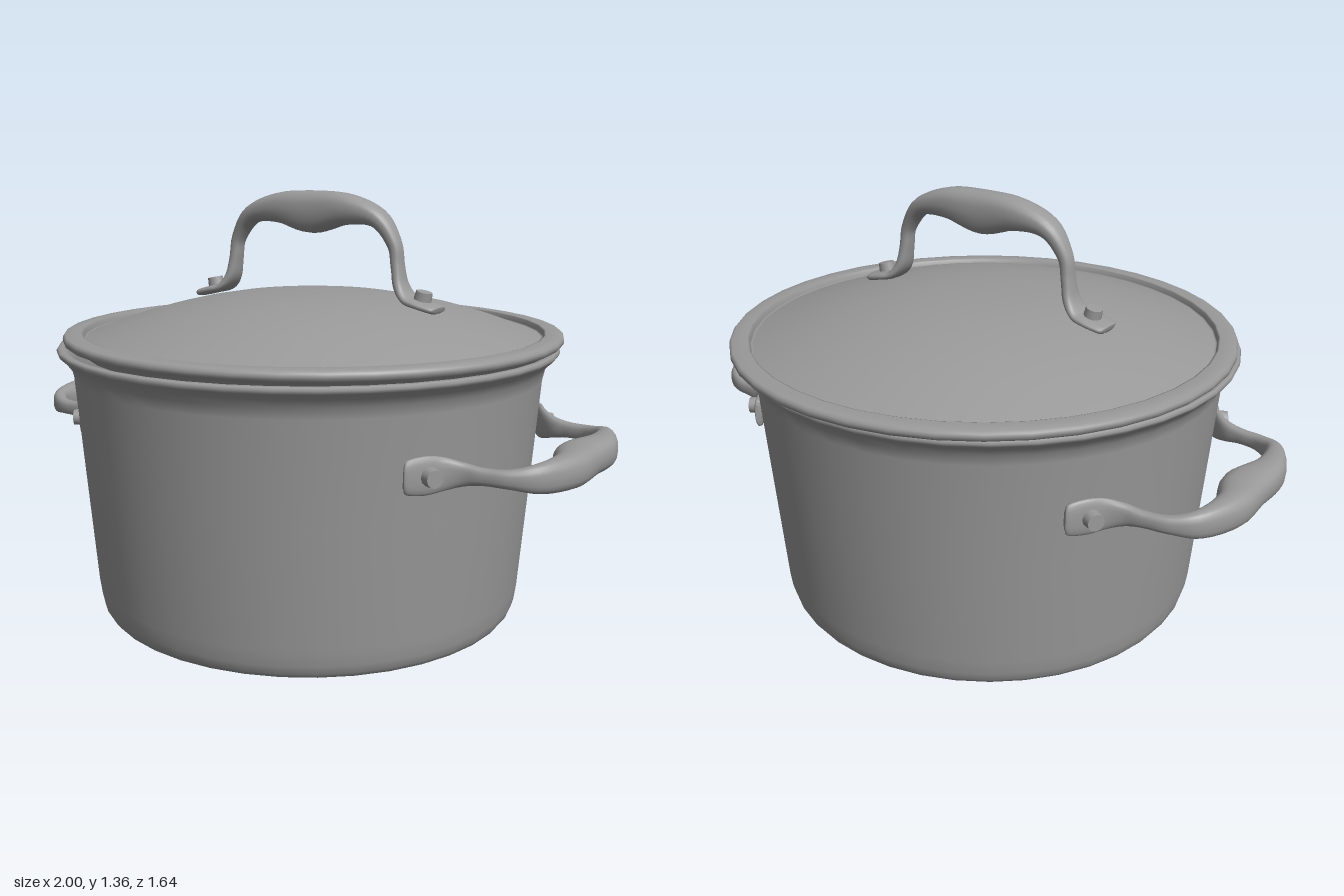
import * as THREE from 'three';

const material = new THREE.MeshStandardMaterial({ color: 0x999999 });

function part(name, geometry) {
  const mesh = new THREE.Mesh(geometry, material);
  mesh.name = name;
  return mesh;
}

const lathe = (name, profile) =>
  part(name, new THREE.LatheGeometry(profile.map(([r, y]) => new THREE.Vector2(r, y)), 40));

// Sweeps a rounded section along a mirrored path in the XY plane.
// Each station is [x, y, thickness in the plane, width along z].
function sweepHandle(half) {
  const mirrored = half.slice(0, -1).reverse().map(([x, y, t, w]) => [-x, y, t, w]);
  const stations = [...half, ...mirrored];
  const path = new THREE.CatmullRomCurve3(
    stations.map(([x, y]) => new THREE.Vector3(x, y, 0)), false, 'catmullrom', 0.5);
  const size = new THREE.CatmullRomCurve3(
    stations.map(([, , t, w]) => new THREE.Vector3(t, w, 0)), false, 'catmullrom', 0.5);
  const rows = 100, sides = 20;
  const positions = [], index = [];
  const round = (c) => Math.sign(c) * Math.abs(c) ** 0.8;

  for (let i = 0; i <= rows; i++) {
    const p = path.getPoint(i / rows);
    const tangent = path.getTangent(i / rows);
    const s = size.getPoint(i / rows);
    for (let j = 0; j < sides; j++) {
      const a = (j / sides) * Math.PI * 2;
      const n = round(Math.cos(a)) * s.x / 2;
      positions.push(p.x - tangent.y * n, p.y + tangent.x * n, round(Math.sin(a)) * s.y / 2);
    }
  }
  for (let i = 0; i < rows; i++) {
    for (let j = 0; j < sides; j++) {
      const a = i * sides + j, b = i * sides + (j + 1) % sides;
      index.push(a, b, a + sides, b, b + sides, a + sides);
    }
  }
  // End caps
  const first = positions.length / 3, last = first + 1, end = rows * sides;
  positions.push(...path.getPoint(0).toArray(), ...path.getPoint(1).toArray());
  for (let j = 0; j < sides; j++) {
    const k = (j + 1) % sides;
    index.push(first, k, j, last, end + j, end + k);
  }
  const geometry = new THREE.BufferGeometry();
  geometry.setAttribute('position', new THREE.Float32BufferAttribute(positions, 3));
  geometry.setIndex(index);
  geometry.computeVertexNormals();
  return geometry;
}

// A looped handle with a rivet through each foot; tilt is the rivet's lean outward.
function makeHandle(name, half, [rx, ry], tilt) {
  const group = new THREE.Group();
  group.name = name;
  group.add(part('handleLoop', sweepHandle(half)));
  for (const side of [-1, 1]) {
    const geometry = new THREE.CylinderGeometry(0.026, 0.03, 0.05, 12);
    geometry.translate(0, 0.015, 0);
    const rivet = part('rivet', geometry);
    rivet.position.set(side * rx, ry, 0);
    rivet.rotation.z = -side * tilt;
    group.add(rivet);
  }
  return group;
}

export function createModel() {
  const model = new THREE.Group();
  model.name = 'cookingPot';

  // Tapered hollow body with a flared rim
  const body = lathe('potBody', [
    [0, 0], [0.64, 0], [0.66, 0.002], [0.678, 0.01], [0.689, 0.025], [0.696, 0.05], [0.703, 0.1],
    [0.731, 0.45], [0.757, 0.78], [0.765, 0.815], [0.783, 0.84], [0.803, 0.858], [0.808, 0.868],
    [0.803, 0.876], [0.79, 0.878], [0.77, 0.868], [0.748, 0.82], [0.735, 0.74],
    [0.685, 0.08], [0.66, 0.035], [0.63, 0.03], [0, 0.03],
  ]);
  body.position.z = 0.015;
  model.add(body);

  // Domed lid with an inner lip and a rolled edge
  const lid = new THREE.Group();
  lid.name = 'lid';
  lid.position.z = -0.014;
  lid.add(lathe('lidDome', [
    [0, 1.01], [0.4, 0.975], [0.7, 0.89], [0.72, 0.85], [0.74, 0.85], [0.745, 0.88],
    [0.785, 0.883], [0.8, 0.885], [0.807, 0.892], [0.808, 0.9], [0.807, 0.908], [0.8, 0.915],
    [0.775, 0.917], [0.752, 0.917], [0.746, 0.915], [0.744, 0.9], [0.741, 0.896], [0.735, 0.898],
    [0.69, 0.914], [0.58, 0.952], [0.48, 0.98], [0.38, 1.003], [0.28, 1.02],
    [0.18, 1.031], [0.08, 1.035], [0, 1.036],
  ]));
  lid.add(makeHandle('lidHandle', [
    [-0.462, 1.001, 0.018, 0.06], [-0.452, 1.004, 0.026, 0.098], [-0.4, 1.017, 0.028, 0.114],
    [-0.357, 1.03, 0.03, 0.1], [-0.327, 1.07, 0.036, 0.075], [-0.314, 1.13, 0.036, 0.058],
    [-0.3, 1.2, 0.042, 0.056], [-0.24, 1.275, 0.06, 0.085], [-0.125, 1.3, 0.1, 0.105],
    [0, 1.289, 0.136, 0.107],
  ], [0.4, 1.017], 0.22));
  model.add(lid);

  // Side handles: the same loop laid flat, feet hugging the wall
  const sideLoop = [
    [-0.459, 0.602, 0.018, 0.06], [-0.451, 0.609, 0.026, 0.098], [-0.405, 0.641, 0.028, 0.112],
    [-0.362, 0.672, 0.03, 0.098], [-0.334, 0.718, 0.036, 0.07], [-0.325, 0.775, 0.038, 0.05],
    [-0.309, 0.848, 0.042, 0.055], [-0.255, 0.913, 0.058, 0.085], [-0.13, 0.946, 0.1, 0.102],
    [0, 0.928, 0.14, 0.104],
  ];
  const layFlat = new THREE.Matrix4().makeBasis(
    new THREE.Vector3(0, 0, 1), new THREE.Vector3(1, 0, 0), new THREE.Vector3(0, 1, 0));
  for (const [name, turn] of [['leftHandle', 0], ['rightHandle', Math.PI]]) {
    const handle = makeHandle('handleWithRivets', sideLoop, [0.4, 0.647], 0.57);
    handle.quaternion.setFromRotationMatrix(layFlat);
    const mount = new THREE.Group();
    mount.name = name;
    mount.position.set(0, 0.605, -0.006);
    mount.rotation.y = turn;
    mount.add(handle);
    model.add(mount);
  }
  return model;
}
